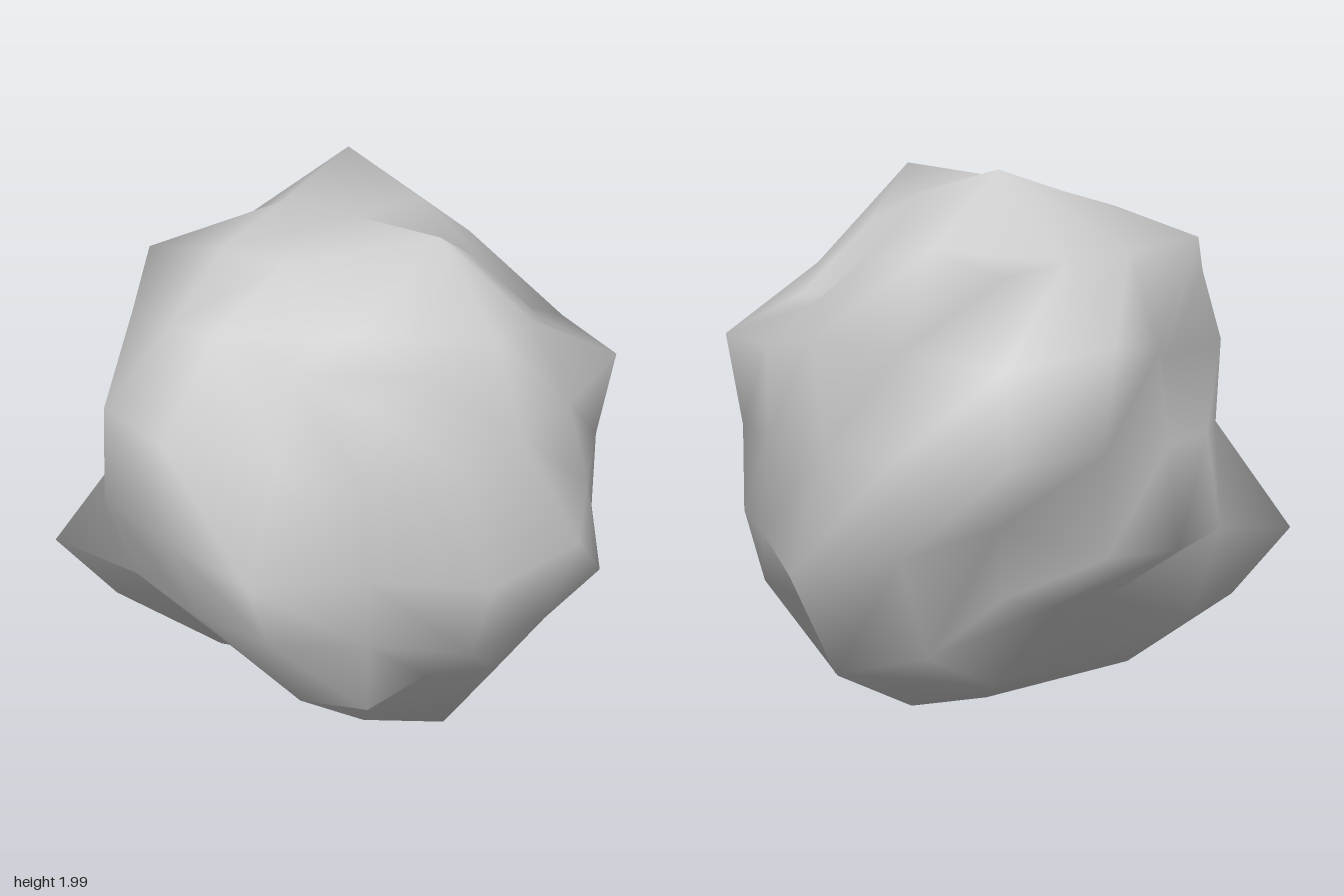
import * as THREE from 'three';

// Bump heights on a 5x5x5 lattice shell: layers run bottom to top,
// rows run back to front, columns run -x to +x (0 = inside, unused).
const LAYERS = [
  [[.50, .69, .78, .60, .57],
   [.55, .85, .97, .93, .60],
   [.56, .85, 1.02, 1.06, .685],
   [.67, .89, .76, .88, .60],
   [.64, .55, .62, .65, .59]],
  [[.50, .82, .99, .80, .62],
   [.82, 0, 0, 0, .86],
   [.86, 0, 0, 0, .89],
   [.80, 0, 0, 0, .85],
   [.79, .80, .83, .80, .61]],
  [[.78, .82, .82, .78, .62],
   [.80, 0, 0, 0, .80],
   [.82, 0, 0, 0, 1.02],
   [.75, 0, 0, 0, .98],
   [.59, .89, .93, .95, .65]],
  [[.52, .82, .88, .78, .66],
   [.86, 0, 0, 0, .73],
   [.77, 0, 0, 0, .76],
   [.60, 0, 0, 0, .76],
   [.60, .87, .94, .70, .69]],
  [[.58, .66, .62, .48, .47],
   [.62, .92, .84, .72, .57],
   [.64, .84, .89, .93, .64],
   [.68, .78, .83, .62, .58],
   [.55, .60, .69, .64, .67]],
];

// Spherified cube whose points are pushed in or out by the bump heights
function boulderGeometry() {
  const positions = [], index = [], ids = new Map();

  const vertex = (p) => {
    const key = p.join();
    if (!ids.has(key)) {
      ids.set(key, positions.length / 3);
      const [x, y, z] = p;
      const height = LAYERS[y + 2][z + 2][x + 2];
      const onEdge = p.filter((c) => Math.abs(c) === 2).length > 1;
      const half = onEdge ? 0.5 : Math.tan(Math.PI / 8);
      const place = (c) => height * Math.sign(c) * (Math.abs(c) === 1 ? half : 1);
      positions.push(place(x) - 0.08, place(y) + 1.07, place(z) + 0.02);
    }
    return ids.get(key);
  };

  for (let axis = 0; axis < 3; axis++) {
    for (const side of [-2, 2]) {
      const at = (u, v) => {
        const p = [0, 0, 0];
        p[axis] = side;
        p[(axis + 1) % 3] = u;
        p[(axis + 2) % 3] = v;
        return vertex(p);
      };
      // The left-hand, top and front faces split their quads the other way
      const crossed = (axis === 0) === (side < 0);
      for (let u = -2; u < 2; u++) {
        for (let v = -2; v < 2; v++) {
          const quad = [at(u, v), at(u + 1, v), at(u + 1, v + 1), at(u, v + 1)];
          if (crossed) quad.push(quad.shift());
          if (side < 0) quad.reverse();
          const [a, b, c, d] = quad;
          // reversing a quad keeps its a-c diagonal on the same corners
          index.push(a, b, c, a, c, d);
        }
      }
    }
  }

  const geometry = new THREE.BufferGeometry();
  geometry.setAttribute('position', new THREE.Float32BufferAttribute(positions, 3));
  geometry.setIndex(index);
  geometry.computeVertexNormals();
  return geometry;
}

export function createModel() {
  const group = new THREE.Group();
  const boulder = new THREE.Mesh(
    boulderGeometry(),
    new THREE.MeshStandardMaterial({ color: 0xcccccc })
  );
  boulder.name = 'boulder';
  group.add(boulder);
  return group;
}
